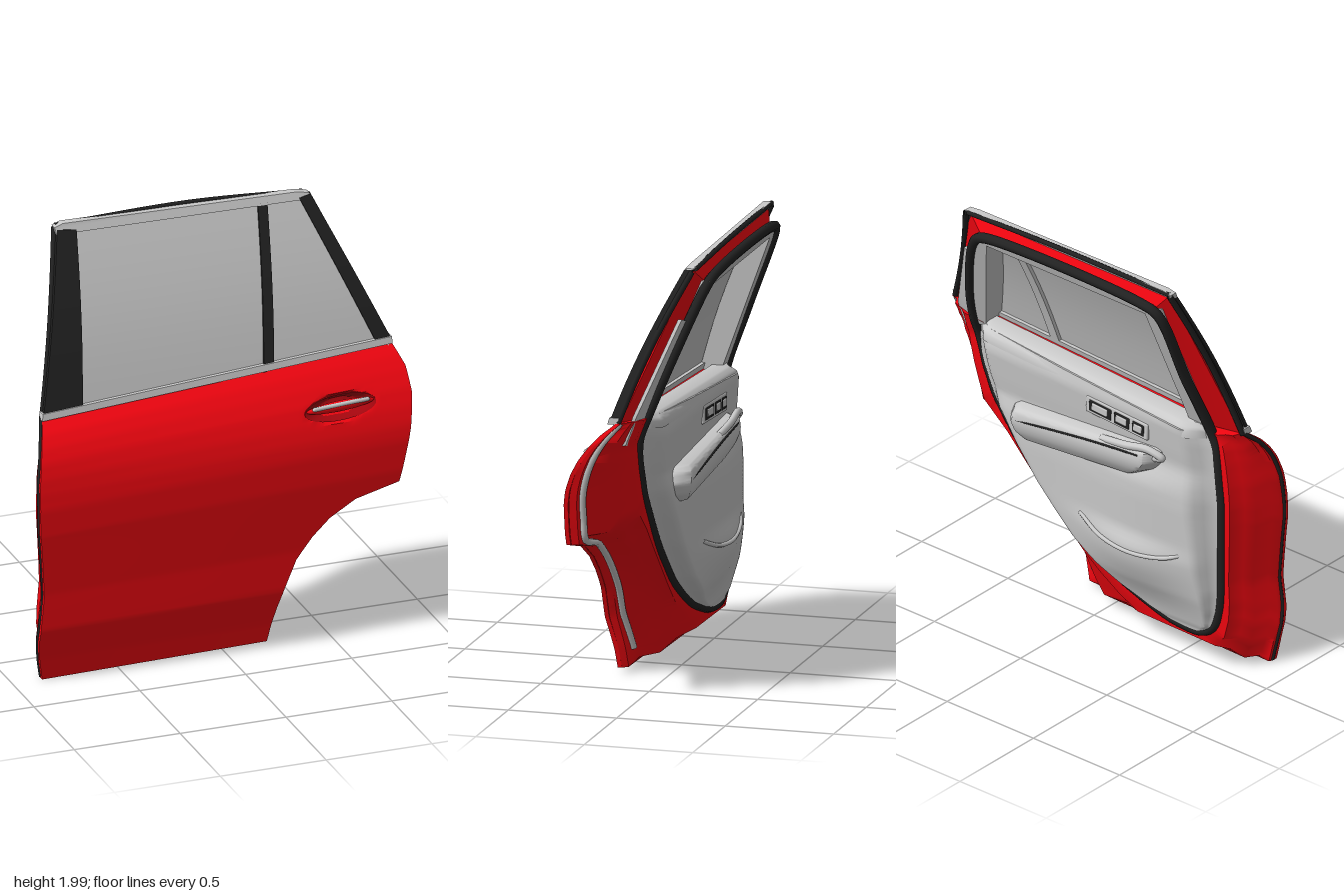
import * as THREE from 'three';
import { toCreasedNormals } from 'three/addons/utils/BufferGeometryUtils.js';
import { RoundedBoxGeometry } from 'three/addons/geometries/RoundedBoxGeometry.js';

const mat = (color) => new THREE.MeshStandardMaterial({ color, side: THREE.DoubleSide });
const { lerp, smoothstep } = THREE.MathUtils;

// Piecewise profile lookup: pts = [[key, value], ...]
function prof(pts, k) {
  if (k <= pts[0][0]) return pts[0][1];
  for (let i = 1; i < pts.length; i++) {
    const [a, va] = pts[i - 1], [b, vb] = pts[i];
    if (k <= b) return lerp(va, vb, (k - a) / (b - a));
  }
  return pts[pts.length - 1][1];
}

// Door outlines as rows from bottom to belt line: [xFront, yFront, xRear, yRear]
const SKIN = [[-.86, .01, .2, .03], [-.875, .1, .215, .1], [-.885, .2, .24, .2], [-.88, .28, .265, .28],
  [-.865, .42, .325, .42], [-.87, .52, .4, .52], [-.875, .6, .48, .6], [-.88, .67, .6, .675],
  [-.885, .73, .805, .73], [-.885, .82, .83, .83], [-.88, .95, .862, .97], [-.86, 1.06, .89, 1.12],
  [-.84, 1.13, .887, 1.22], [-.81, 1.2, .85, 1.31]];
const INNER = [[-.62, .16, -.46, .16], [-.69, .21, -.31, .2], [-.72, .3, -.15, .26], [-.73, .4, -.02, .33],
  [-.73, .48, .13, .43], [-.73, .56, .24, .53], [-.73, .63, .35, .64], [-.73, .7, .47, .79],
  [-.73, .77, .57, .93], [-.73, .85, .6, 1.0], [-.72, .95, .625, 1.06], [-.71, 1.05, .645, 1.13],
  [-.7, 1.13, .66, 1.21], [-.68, 1.2, .66, 1.3]];

// Depth rules: painted skin, window plane, cabin-side plane, trim panel
const SKIN_PROFILE = [[0, .232], [.12, .245], [.27, .276], [.45, .274], [.6, .281], [.75, .288], [.88, .284],
  [.95, .273], [1.02, .253], [1.09, .222], [1.15, .182], [1.2, .138], [1.25, .075]];
const TRIM_PROFILE = [[.16, -.015], [.22, -.03], [.35, -.06], [.6, -.085], [.8, -.09], [.93, -.085], [1, -.07],
  [1.08, -.08], [1.2, -.092], [1.26, -.08], [1.31, -.05]];
const belt = (x) => 1.2 + .066 * (x + .81);
function zSkin(x, y) {
  const k = y * 1.25 / belt(x);
  const d = Math.hypot((x - .55) / .175, (y - 1.1 - (x - .55) * .06) / .055);
  return prof(SKIN_PROFILE, k) - .036 * x * smoothstep(k, .9, 1.25) + .006 * x * smoothstep(k, .3, .8)
    - .045 * (1 - smoothstep(d, .45, 1));
}
const zWin = (x, y) => .105 - .39 * (y - 1.2) + .025 * Math.sin(Math.PI * Math.min(1, Math.max(0, (y - 1.2) / .78)));
const zIn = (x, y) => -.38 * Math.max(0, y - 1.18);
function zTrim(x, y, u, v) {
  const edge = smoothstep(Math.min(u, 1 - u), 0, .09) * smoothstep(v, 0, .06);
  const rise = smoothstep(y, .2, .5) * (1 - .55 * smoothstep(y, .52, .62)) * (1 - smoothstep(y, .86, .98));
  return -.012 + edge * (prof(TRIM_PROFILE, y) + .012 - .065 * rise * Math.exp(-(((x + .3) / .3) ** 2)));
}
const off = (f, d) => (x, y, u, v) => f(x, y, u, v) + d;

function refine(rows, n) {
  const out = [];
  for (let r = 0; r < rows.length - 1; r++)
    for (let s = 0; s < n; s++) out.push(rows[r].map((a, i) => lerp(a, rows[r + 1][i], s / n)));
  return [...out, rows[rows.length - 1]];
}

function finish(pos, idx, crease) {
  const g = new THREE.BufferGeometry();
  g.setAttribute('position', new THREE.Float32BufferAttribute(pos, 3));
  g.setIndex(idx);
  return toCreasedNormals(g, crease);
}

// Closed slab over the rows, between a front and a back depth rule
function slab(rows, zf, zb, n = 8, cols = 16, crease = .6) {
  const R = refine(rows, n), pos = [], idx = [], C = cols + 1, N = R.length * C;
  for (const zz of [zf, zb]) R.forEach(([xl, yl, xr, yr], r) => {
    for (let c = 0; c < C; c++) {
      const u = c / cols, x = lerp(xl, xr, u), y = lerp(yl, yr, u);
      pos.push(x, y, zz(x, y, u, r / (R.length - 1)));
    }
  });
  const H = R.length - 1, rim = [];
  for (let r = 0; r < H; r++) for (let c = 0; c < cols; c++) {
    const a = r * C + c, b = a + 1, d = a + C, e = d + 1;
    idx.push(a, b, e, a, e, d, a + N, e + N, b + N, a + N, d + N, e + N);
  }
  for (let c = 0; c < cols; c++) rim.push(c);
  for (let r = 0; r < H; r++) rim.push(r * C + cols);
  for (let c = cols; c > 0; c--) rim.push(H * C + c);
  for (let r = H; r > 0; r--) rim.push(r * C);
  rim.forEach((a, i) => {
    const b = rim[(i + 1) % rim.length];
    idx.push(a, a + N, b + N, a, b + N, b);
  });
  return finish(pos, idx, crease);
}

// Counter-clockwise outline of a row set
function outline(rows, n = 4, cols = 24) {
  const R = refine(rows, n), p = [], top = R[R.length - 1], bot = R[0];
  const along = (q, t) => [lerp(q[0], q[2], t), lerp(q[1], q[3], t)];
  for (let c = 0; c < cols; c++) p.push(along(bot, c / cols));
  for (let r = 0; r < R.length - 1; r++) p.push([R[r][2], R[r][3]]);
  for (let c = cols; c > 0; c--) p.push(along(top, c / cols));
  for (let r = R.length - 1; r > 0; r--) p.push([R[r][0], R[r][1]]);
  return p;
}

// Door shell stepping from the skin edge inwards to the cabin side
function shell() {
  const A = outline(SKIN), B = outline(INNER), pos = [], idx = [], n = A.length;
  const steps = [[0, .08], [.02, .2], [.18, .27], [.27, .6], [.5, .72], [.68, .97], [1, 1]];
  for (const [t, d] of steps) A.forEach(([ax, ay], i) => {
    const x = lerp(ax, B[i][0], t), y = lerp(ay, B[i][1], t);
    pos.push(x, y, lerp(zSkin(ax, ay), zIn(x, y), d));
  });
  for (let s = 0; s < steps.length - 1; s++) for (let i = 0; i < n; i++) {
    const a = s * n + i, b = s * n + (i + 1) % n;
    idx.push(a, a + n, b + n, a, b + n, b);
  }
  return finish(pos, idx, .9);
}

function tube(pts, r, closed = false, seg = 120) {
  const curve = new THREE.CatmullRomCurve3(pts.map((p) => new THREE.Vector3(...p)), closed, 'centripetal');
  return new THREE.TubeGeometry(curve, seg, r, 8, closed);
}

export function createModel() {
  const g = new THREE.Group();
  g.name = 'rearDoor';
  const red = mat(0xf50510), darkRed = mat(0xa8060e), black = mat(0x222222), grey = mat(0xcccccc);
  const add = (name, geo, m, parent = g) => {
    const mesh = new THREE.Mesh(geo, m);
    mesh.name = name;
    parent.add(mesh);
    return mesh;
  };

  // Painted body
  add('outerSkin', slab(SKIN, zSkin, off(zSkin, -.02), 6, 84, .5), red);
  add('doorShell', shell(), red);

  // Window frame: posts and header, thinning towards the outer edge
  const bars = [
    ['frontPost', [[-.79, 1.2, -.61, 1.22], [-.62, 1.965, -.54, 1.87]], (u) => 1 - u],
    ['rearPost', [[.64, 1.29, .82, 1.31], [.43, 1.87, .54, 1.955]], (u) => u],
    ['header', [[-.54, 1.87, .43, 1.87], [-.62, 1.965, .54, 1.955]], (u, v) => v],
  ];
  for (const [name, rows, w] of bars)
    add(name, slab(rows, off(zWin, -.015), (x, y, u, v) => zIn(x, y) + .015 + .07 * w(u, v)), red);
  const lining = {
    frontLining: [[-.67, 1.2, -.57, 1.2], [-.585, 1.89, -.51, 1.85]],
    rearLining: [[.6, 1.27, .68, 1.27], [.41, 1.85, .47, 1.89]],
    headerLining: [[-.51, 1.85, .41, 1.85], [-.585, 1.89, .47, 1.89]],
  };
  for (const k in lining) add(k, slab(lining[k], off(zWin, -.014), off(zIn, .002)), grey);
  add('rearPostCover', slab([[.67, 1.17, .77, 1.19], [.67, 1.3, .77, 1.33], [.54, 1.72, .6, 1.74]],
    off(zIn, .05), (x, y, u) => zIn(x, y) + .008 + .025 * u), grey);

  // Glass, outer pillar covers and divider
  add('glass', slab([[-.7, 1.2, .82, 1.3], [-.56, 1.96, .54, 1.95]], off(zWin, -.004), off(zWin, -.012)), grey);
  add('frontPillarCover', slab([[-.81, 1.2, -.62, 1.22], [-.63, 1.97, -.54, 1.96]], off(zWin, .008), off(zWin, -.01)), black);
  add('rearPillarCover', slab([[.78, 1.31, .85, 1.32], [.51, 1.95, .565, 1.96]], off(zWin, .008), off(zWin, -.03)), black);
  const divider = [[.24, 1.26, .29, 1.27], [.315, 1.95, .36, 1.95]];
  add('dividerOuter', slab(divider, off(zWin, .006), off(zWin, -.006)), black);
  add('dividerInner', slab(divider, off(zWin, -.008), off(zWin, -.03)), grey);

  // Bright strips at the belt line and the roof edge
  add('beltStrip', slab([[-.815, 1.2, .85, 1.305], [-.81, 1.23, .85, 1.335]], off(zWin, .014), off(zWin, -.03), 3, 24), grey);
  add('roofStrip', slab([[-.635, 1.95, .57, 1.94], [-.64, 1.98, .56, 1.965], [-.6, 1.992, .5, 1.975]],
    off(zWin, .006), off(zWin, -.03), 3, 24), grey);
  add('roofSeal', tube([[-.63, 1.978, -.225], [0, 1.985, -.235], [.54, 1.96, -.225]], .011), black);
  for (const [name, a, b] of [['frontPostSeal', [-.8, 1.2], [-.63, 1.97]], ['rearPostSeal', [.84, 1.31], [.56, 1.95]]])
    add(name, tube([0, .25, .5, .75, 1].map((t) => {
      const x = lerp(a[0], b[0], t), y = lerp(a[1], b[1], t);
      return [x, y, zWin(x, y) - .03];
    }), .014), black);

  // Weather seals
  add('frontEdgeSeal', tube(SKIN.map(([x, y]) => [x + .004, y + .005, zSkin(x, y) - .025]), .01), black);
  add('rearEdgeSeal', tube(SKIN.slice(1).map(([, , x, y], i) => {
    const q = INNER[i + 1], X = lerp(x, q[2], .13), Y = lerp(y, q[3], .13);
    return [X, Y, lerp(zSkin(x, y), 0, .27)];
  }), .016), grey);
  const loop = [...INNER.map(([, , x, y]) => [x, y]), [.62, 1.5], [.48, 1.85], [.41, 1.895], [-.5, 1.905],
    [-.585, 1.87], [-.63, 1.5], ...INNER.map(([x, y]) => [x, y]).reverse()];
  add('cabinSeal', tube(loop.map(([x, y]) => [x, y, zIn(x, y) + .008]), .024, true, 260), black);

  // Cabin trim
  add('trimPanel', slab(INNER, () => .01, zTrim, 4, 48, .9), grey);
  add('trimTopRoll', slab([[-.67, 1.17, .64, 1.24], [-.66, 1.21, .64, 1.28], [-.63, 1.235, .62, 1.305]],
    () => .03, (x, y, u, v) => lerp(-.02, -.088 + .04 * v * v, smoothstep(Math.min(u, 1 - u), 0, .06)), 4, 40, 1), grey);
  add('armrest', slab([[-.34, .9, .34, .84], [-.42, .95, .39, .88], [-.46, 1.0, .41, .93], [-.46, 1.05, .39, .98],
    [-.43, 1.06, .36, 1.0]], () => -.03,
    (x, y, u, v) => lerp(-.07, -.1 - .052 * Math.sin(Math.PI * (.1 + .75 * v)), smoothstep(Math.min(u, 1 - u), -.02, .07)),
    4, 32, .8), grey);
  add('armrestSeam', tube([[-.38, 1.03, -.146], [-.1, 1.005, -.15], [.2, .965, -.15], [.33, .945, -.147]], .005), black);
  add('pullGrip', tube([[-.44, 1.02, -.1], [-.49, 1.045, -.115], [-.42, 1.07, -.13], [-.3, 1.05, -.135], [-.15, 1.025, -.125]], .018), grey);
  add('pocketLip', tube([[-.6, .58, -.085], [-.5, .54, -.12], [-.32, .515, -.142], [-.14, .53, -.13], [0, .58, -.095]], .01), grey);

  // Inner release lever and switches in a slanted bezel
  const panel = new THREE.Group();
  panel.name = 'switchPanel';
  panel.position.set(-.21, 1.135, -.084);
  panel.rotation.z = .06;
  g.add(panel);
  add('switchBezel', new RoundedBoxGeometry(.36, .085, .02, 3, .009), grey, panel);
  [[-.125, .07], [-.03, .09], [.095, .13]].forEach(([x, w]) => {
    add('switchRecess', new RoundedBoxGeometry(w, .058, .016, 2, .006), black, panel).position.set(x, 0, -.005);
    add('switchKey', new RoundedBoxGeometry(w * .7, .036, .02, 2, .006), grey, panel).position.set(x, .002, -.008);
  });

  // Outer pull handle: oval dish, lens-shaped grip and bright blade
  const dish = [];
  for (let i = 0; i <= 16; i++) {
    const a = Math.PI * (i / 16 - .5), w = .168 * Math.cos(a) + .001, y = 1.1 + .05 * Math.sin(a);
    dish.push([.55 - w, y - w * .06, .55 + w, y + w * .06]);
  }
  add('handleDish', slab(dish, off(zSkin, .005), off(zSkin, -.004), 1, 24), darkRed);
  const handle = new THREE.Group();
  handle.name = 'outerHandle';
  handle.position.set(.55, 1.108, .228);
  handle.rotation.z = .06;
  g.add(handle);
  add('handleGrip', new THREE.SphereGeometry(1, 32, 16), red, handle).scale.set(.16, .024, .022);
  const blade = add('handleBlade', new THREE.CapsuleGeometry(.01, .25, 6, 12), grey, handle);
  blade.rotation.z = Math.PI / 2;
  blade.position.set(0, .012, .012);
  return g;
}
